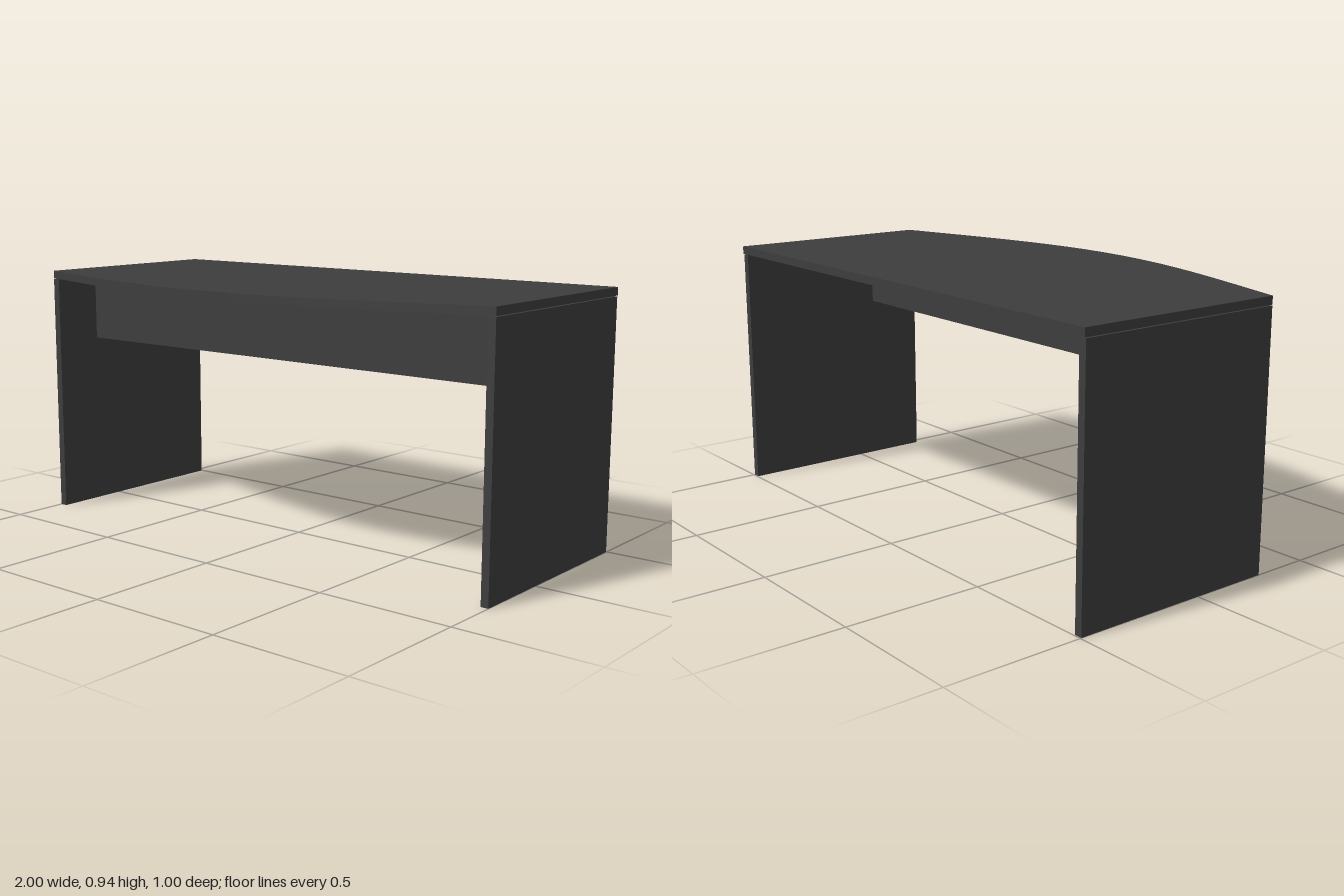
import * as THREE from 'three';

export function createModel() {
  const desk = new THREE.Group();
  desk.name = 'desk';
  const charcoal = new THREE.MeshStandardMaterial({ color: 0x3d3d3d });
  charcoal.name = 'charcoal';

  const addPart = (name, geometry, x, y, z) => {
    const mesh = new THREE.Mesh(geometry, charcoal);
    mesh.name = name;
    mesh.position.set(x, y, z);
    desk.add(mesh);
  };

  // Bow-fronted top: outline drawn with shape y = -z, then laid flat
  const outline = new THREE.Shape();
  outline.moveTo(-1, 0.5);
  outline.lineTo(-1, -0.29);
  outline.bezierCurveTo(-0.66, -0.39, -0.35, -0.5, 0, -0.5);
  outline.bezierCurveTo(0.35, -0.5, 0.66, -0.39, 1, -0.29);
  outline.lineTo(1, 0.5);
  outline.closePath();
  const top = new THREE.ExtrudeGeometry(outline, { depth: 0.029, bevelEnabled: false, curveSegments: 10 });
  top.rotateX(-Math.PI / 2);
  addPart('tabletop', top, 0, 0.909, 0);

  // Slab legs, a hair below the top
  for (const [name, side] of [['leftLeg', 1], ['rightLeg', -1]]) {
    addPart(name, new THREE.BoxGeometry(0.028, 0.906, 0.786), side * 0.986, 0.453, -0.103);
  }

  // Modesty panel hung under the top between the legs
  addPart('modestyPanel', new THREE.BoxGeometry(1.936, 0.249, 0.03), 0, 0.7845, 0.09);

  return desk;
}
